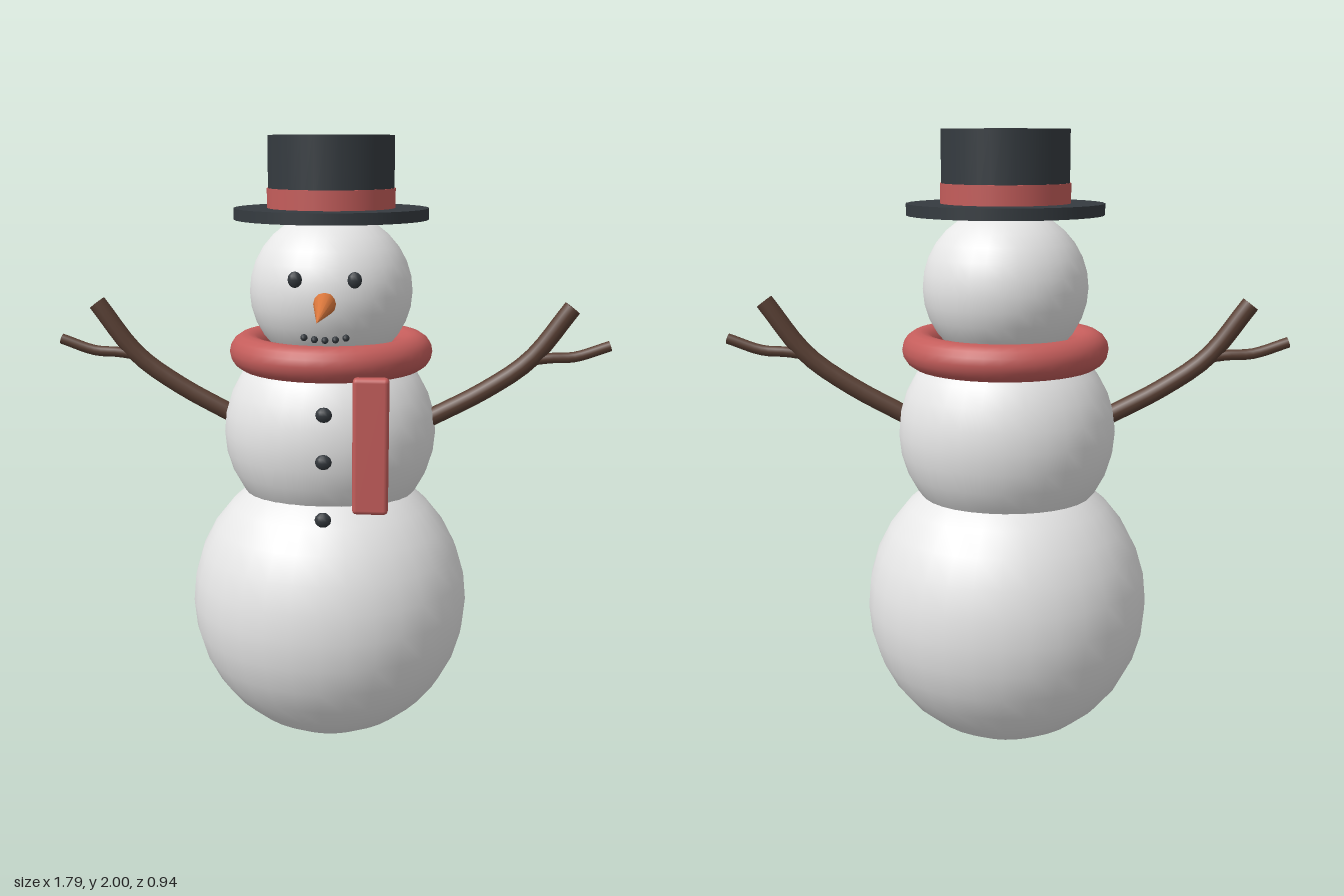
import * as THREE from 'three';
import { RoundedBoxGeometry } from 'three/addons/geometries/RoundedBoxGeometry.js';

const Z = -0.04; // depth of the snowman's central axis

export function createModel() {
  const root = new THREE.Group();
  root.name = 'snowman';

  const material = (name, color) => {
    const m = new THREE.MeshStandardMaterial({ color });
    m.name = name;
    return m;
  };
  const snow = material('snow', 0xe6e6e6);
  const felt = material('hat felt', 0x353b40);
  const wool = material('scarf wool', 0xc45d5b);
  const carrot = material('carrot', 0xd9773c);
  const wood = material('wood', 0x5a4034);
  const coal = material('coal', 0x33383d);

  const add = (parent, name, geometry, mat, x = 0, y = 0, z = 0) => {
    const mesh = new THREE.Mesh(geometry, mat);
    mesh.name = name;
    mesh.position.set(x, y, z);
    parent.add(mesh);
    return mesh;
  };
  const ball = (name, mat, x, y, z, rx, ry, rz, detail = 32) =>
    add(root, name, new THREE.SphereGeometry(1, detail, detail / 2).scale(rx, ry, rz), mat, x, y, z);

  // Snowballs
  ball('lowerBody', snow, -0.005, 0.48, Z, 0.461, 0.475, 0.43);
  ball('upperBody', snow, -0.005, 1.06, -0.053, 0.347, 0.34, 0.308);
  ball('head', snow, 0, 1.52, Z, 0.26, 0.25, 0.25);

  // Coal face and buttons
  for (const s of [-1, 1]) ball('eye', coal, s * 0.09, 1.58, 0.2, 0.022, 0.025, 0.015, 12);
  for (let i = -2; i <= 2; i++) {
    ball('mouthCoal', coal, i * 0.032, 1.397 + 0.002 * i * i, 0.196, 0.011, 0.011, 0.011, 10);
  }
  for (const [y, z] of [[1.175, 0.243], [1.03, 0.258], [0.85, 0.275]]) {
    ball('button', coal, 0, y, z, 0.026, 0.024, 0.018, 12);
  }

  // Carrot nose, drooping slightly
  const nose = add(root, 'nose', new THREE.ConeGeometry(0.038, 0.29, 12), carrot, 0, 1.5, 0.325);
  nose.rotation.x = Math.PI / 2 + 0.07;

  // Scarf ring and hanging end
  const ring = new THREE.TorusGeometry(0.27, 0.057, 16, 40).rotateX(Math.PI / 2);
  add(root, 'scarfRing', ring, wool, 0, 1.328, Z);
  add(root, 'scarfTail', new RoundedBoxGeometry(0.11, 0.425, 0.042, 2, 0.014), wool, 0.145, 1.087, 0.275);

  // Top hat
  const hat = new THREE.Group();
  hat.name = 'topHat';
  hat.position.z = Z;
  root.add(hat);
  add(hat, 'hatBrim', new THREE.CylinderGeometry(0.307, 0.307, 0.035, 32), felt, 0, 1.762, 0);
  add(hat, 'hatCrown', new THREE.CylinderGeometry(0.198, 0.198, 0.23, 32), felt, 0, 1.885, 0);
  add(hat, 'hatBand', new THREE.CylinderGeometry(0.202, 0.202, 0.062, 32), wool, 0, 1.809, 0);

  // Twig: a tube along a curve, with a flat cap at each end
  const twig = (parent, name, points, radius) => {
    const curve = new THREE.CatmullRomCurve3(points.map(([x, y]) => new THREE.Vector3(x, y, Z)));
    add(parent, name, new THREE.TubeGeometry(curve, 12, radius, 10), wood);
    for (const t of [0, 1]) {
      const p = curve.getPoint(t);
      const out = curve.getTangent(t).multiplyScalar(t ? 1 : -1);
      const cap = add(parent, name + 'Cap', new THREE.CircleGeometry(radius, 10), wood, p.x, p.y, p.z);
      cap.quaternion.setFromUnitVectors(new THREE.Vector3(0, 0, 1), out);
    }
  };

  // Arms, each with a side branch; the right one is the left turned half round
  for (const side of [1, -1]) {
    const arm = new THREE.Group();
    arm.name = side > 0 ? 'leftArm' : 'rightArm';
    twig(arm, 'branch', [[0.325, 1.108], [0.5, 1.203], [0.64, 1.305], [0.766, 1.472]], 0.029);
    twig(arm, 'sideBranch', [[0.62, 1.298], [0.7, 1.31], [0.78, 1.315], [0.89, 1.352]], 0.017);
    if (side < 0) {
      arm.rotation.y = Math.PI;
      arm.position.z = 2 * Z;
    }
    root.add(arm);
  }

  return root;
}
